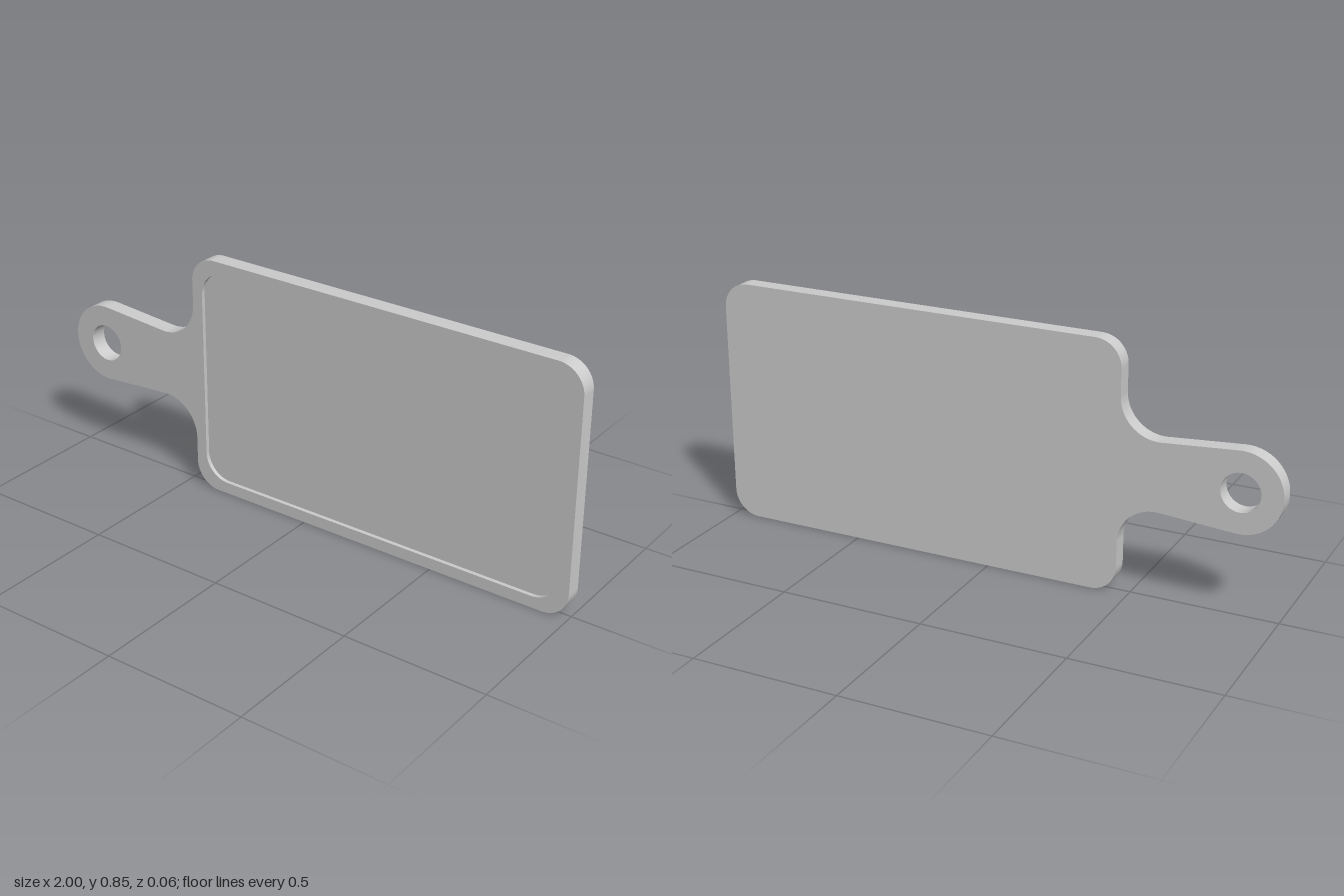
import * as THREE from 'three';
import { toCreasedNormals } from 'three/addons/utils/BufferGeometryUtils.js';

const HEIGHT = 0.854, MID = HEIGHT / 2;
const BACK = -0.0285, FRONT = 0.0285, FLOOR = 0.0145;
const PI = Math.PI;

// Counter-clockwise rounded rectangle corners, starting at the bottom left
function roundedRect(path, x0, y0, x1, y1, r) {
  path.absarc(x0 + r, y0 + r, r, PI, 1.5 * PI);
  path.absarc(x1 - r, y0 + r, r, 1.5 * PI, 2 * PI);
  path.absarc(x1 - r, y1 - r, r, 0, PI / 2);
  path.absarc(x0 + r, y1 - r, r, PI / 2, PI);
  return path;
}

// Sample a closed path, dropping coincident points
function sample(path) {
  const pts = path.getPoints(14);
  return pts.filter((p, i) => p.distanceTo(pts[(i + 1) % pts.length]) > 1e-5);
}

// Flat face at depth z
function cap(points, holes, z, flip) {
  const shape = new THREE.Shape(points);
  shape.holes = holes.map((h) => new THREE.Path(h));
  const g = new THREE.ShapeGeometry(shape);
  if (flip) g.rotateY(PI).scale(-1, 1, 1);
  return g.translate(0, 0, z);
}

// Wall swept in depth along a closed loop; faces away from a counter-clockwise loop
function wall(points, z0, z1) {
  const v = [];
  points.forEach((a, i) => {
    const b = points[(i + 1) % points.length];
    v.push(a.x, a.y, z0, b.x, b.y, z0, b.x, b.y, z1);
    v.push(a.x, a.y, z0, b.x, b.y, z1, a.x, a.y, z1);
  });
  const g = new THREE.BufferGeometry();
  g.setAttribute('position', new THREE.Float32BufferAttribute(v, 3));
  return toCreasedNormals(g, 0.5);
}

export function createModel() {
  const group = new THREE.Group();
  group.name = 'cuttingBoard';
  const material = new THREE.MeshStandardMaterial({ color: 0xcccccc, side: THREE.DoubleSide });
  const add = (name, geometry) => {
    const mesh = new THREE.Mesh(geometry, material);
    mesh.name = name;
    group.add(mesh);
  };

  // Outline: rounded board, concave fillets, flaring handle with a round end
  const taper = 0.07, filletX = -0.59, filletR = 0.13, filletY = 0.675;
  const headX = -0.862, headR = 0.138;
  const outlinePath = roundedRect(new THREE.Shape(), -0.46, 0, 1, HEIGHT, 0.09);
  outlinePath.absarc(filletX, filletY, filletR, 0, -PI / 2 - taper, true);
  outlinePath.absarc(headX, MID, headR, PI / 2 - taper, 1.5 * PI + taper, false);
  outlinePath.absarc(filletX, HEIGHT - filletY, filletR, PI / 2 + taper, 0, true);
  outlinePath.closePath();
  const outline = sample(outlinePath);

  // Hanging hole and recessed tray, as clockwise loops
  const hole = sample(new THREE.Path().absarc(headX, MID, 0.066, 0, 2 * PI, true));
  const trayPath = roundedRect(new THREE.Path(), -0.42, 0.041, 0.96, HEIGHT - 0.041, 0.09);
  trayPath.closePath();
  const tray = sample(trayPath).reverse();

  add('frontRim', cap(outline, [hole, tray], FRONT));
  add('trayFloor', cap(tray, [], FLOOR));
  add('trayWall', wall(tray, FLOOR, FRONT));
  add('outerEdge', wall(outline, BACK, FRONT));
  add('hangingHole', wall(hole, BACK, FRONT));

  // Back face: turned over by reversing the triangle order
  const back = cap(outline, [hole], BACK);
  back.setIndex(Array.from(back.index.array).reverse());
  back.computeVertexNormals();
  add('backFace', back);
  return group;
}
